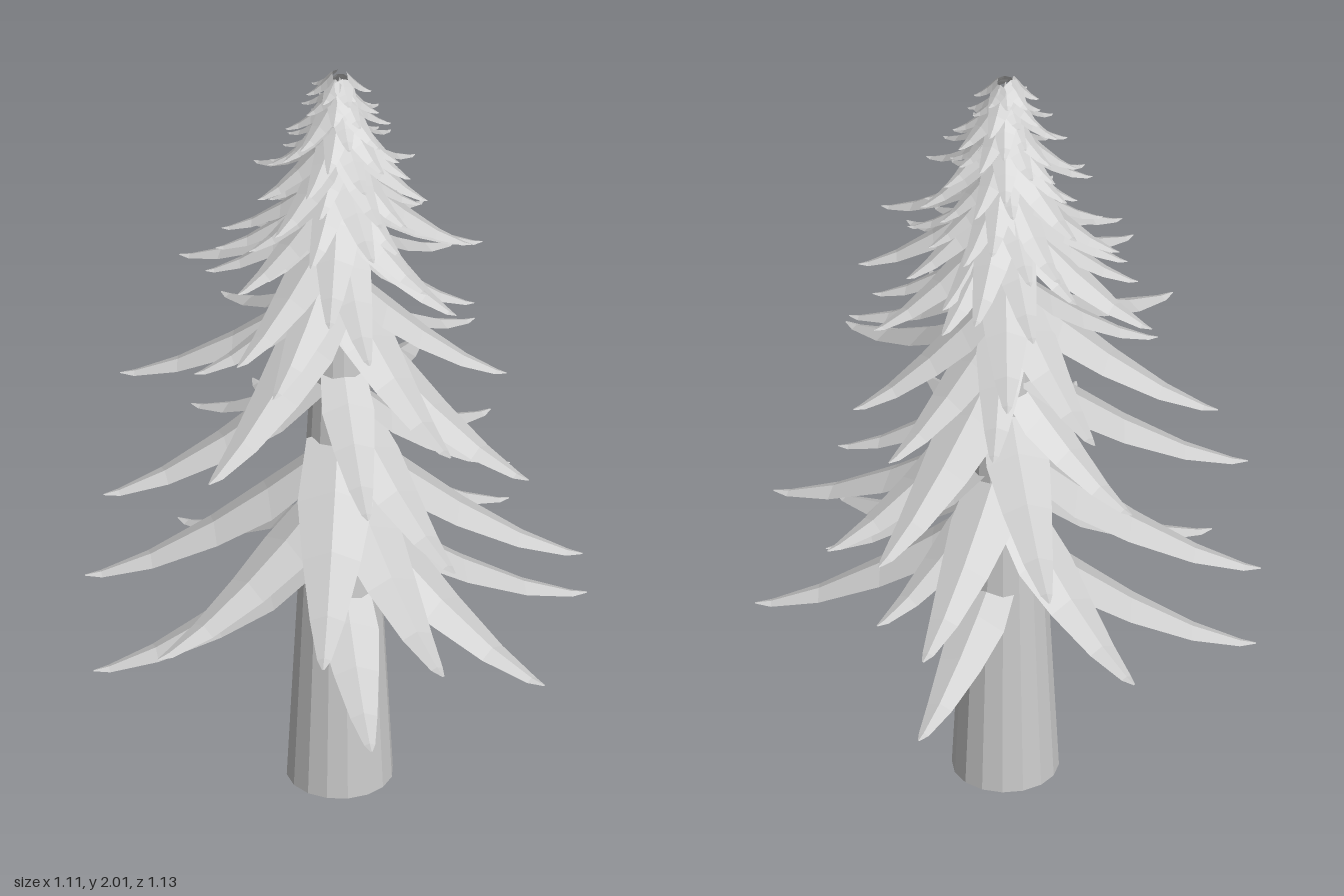
import * as THREE from 'three';

const AXIS_Z = -0.05; // trunk stands slightly behind the centre

// Trunk radius at a height
const trunkRadius = (y) => 0.13 - 0.05 * y;

// Tips of the long lower branches: x, y, z
const LOWER_TIPS = [
  [0.04, 0.51, -0.56], [0.26, 0.82, -0.5], [-0.42, 0.61, -0.5], [-0.44, 0.36, -0.46],
  [-0.44, 0.88, -0.43], [-0.29, 1.13, -0.49], [-0.52, 0.53, -0.21], [-0.55, 1.12, -0.035],
  [-0.53, 0.7, 0.29], [-0.26, 0.6, 0.45], [0, 0.48, 0.56], [0.03, 1.03, 0.49],
  [0.29, 0.67, 0.46], [0.43, 0.45, 0.37], [0.37, 0.68, 0.18], [0.5, 0.81, 0.03],
  [0.42, 0.6, -0.06], [0.55, 0.91, -0.21], [0.47, 0.63, -0.28], [0.43, 0.35, -0.22],
  [0.28, 1.15, -0.32], [0.27, 1.31, -0.36], [-0.32, 0.35, 0.28], [-0.16, 0.83, 0.41],
  [-0.15, 1.15, 0.39], [-0.39, 1.31, 0.04], [0.25, 0.88, 0.27], [0.17, 1.2, 0.32],
  [0.38, 1.15, 0.07], [0.4, 1.08, -0.08], [-0.04, 0.92, -0.46], [0.08, 1.18, -0.46],
  [-0.4, 1.37, -0.06], [-0.28, 0.98, 0.24], [-0.13, 1.41, -0.43], [-0.3, 1.22, -0.26],
];

// Tips of the middle branches: x, y, z
const MIDDLE_TIPS = [
  [0.34, 1.38, 0.04], [0.3, 1.45, -0.16], [-0.3, 1.5, -0.13], [0.27, 1.52, 0],
  [0.04, 1.55, -0.29], [0.02, 1.43, 0.28], [-0.22, 1.38, 0.2], [0.2, 1.34, 0.2],
  [0.16, 1.45, -0.33], [-0.2, 1.45, -0.3], [-0.2, 1.53, 0.08], [0.14, 1.54, 0.14],
];

// Small repeatable random generator
function seeded(seed) {
  return () => {
    seed = (seed * 16807) % 2147483647;
    return seed / 2147483647;
  };
}

// Drooping folded blade from the trunk to a tip
function branchGeometry(x, y, z) {
  const length = Math.hypot(x, z - AXIS_Z);
  const dx = x / length, dz = (z - AXIS_Z) / length;
  const reach = length + 0.006;
  const drop = 0.4 * reach + Math.min(0.06, 0.3 * reach);
  const start = Math.min(0.6 * trunkRadius(y + drop), 0.3 * reach);
  const halfWidth = 0.015 + 0.12 * reach;
  const profile = [[0, 0.85], [0.22, 1], [0.45, 0.78], [0.72, 0.47], [0.93, 0.19], [1, 0.03]];
  const points = [], index = [];
  profile.forEach(([t, k], i) => {
    const r = start + (reach - start) * t;
    const ridge = y + drop * Math.pow(1 - t, 1.45);
    const w = halfWidth * k;
    for (const side of [-1, 0, 1]) {
      points.push(dx * r - dz * w * side, ridge - Math.abs(side) * w * 0.38, AXIS_Z + dz * r + dx * w * side);
    }
    if (i === 0) return;
    for (let j = 0; j < 2; j++) {
      const a = (i - 1) * 3 + j, c = a + 3;
      index.push(a, a + 1, c, a + 1, c + 1, c);
    }
  });
  const g = new THREE.BufferGeometry();
  g.setAttribute('position', new THREE.Float32BufferAttribute(points, 3));
  g.setIndex(index);
  g.computeVertexNormals();
  return g;
}

export function createModel() {
  const tree = new THREE.Group();
  tree.name = 'coniferTree';
  const grey = new THREE.MeshStandardMaterial({ color: 0xcccccc, flatShading: true, side: THREE.DoubleSide });
  grey.name = 'lightGrey';

  // Tapered trunk
  const trunk = new THREE.Mesh(new THREE.CylinderGeometry(trunkRadius(1.9), 0.13, 1.9, 16), grey);
  trunk.name = 'trunk';
  trunk.position.set(0, 0.95, AXIS_Z);
  tree.add(trunk);

  // Pointed trunk top
  const point = new THREE.Mesh(new THREE.ConeGeometry(trunkRadius(1.9), 0.1, 16), grey);
  point.name = 'trunkTip';
  point.position.set(0, 1.95, AXIS_Z);
  tree.add(point);

  const addBranch = (group, x, y, z) => {
    const branch = new THREE.Mesh(branchGeometry(x, y, z), grey);
    branch.name = 'branch';
    group.add(branch);
  };

  // Long lower and middle branches
  for (const [name, tips] of [['lowerBranches', LOWER_TIPS], ['middleBranches', MIDDLE_TIPS]]) {
    const group = new THREE.Group();
    group.name = name;
    tips.forEach(([x, y, z]) => addBranch(group, x, y, z));
    tree.add(group);
  }

  // Upper tiers, shorter and closer together towards the top
  const upper = new THREE.Group();
  upper.name = 'upperBranches';
  const random = seeded(77);
  const tiers = 9, perTier = 8;
  for (let i = 0; i < tiers; i++) {
    const f = i / (tiers - 1);
    const tierY = 1.5 + 0.455 * Math.pow(f, 0.85);
    for (let j = 0; j < perTier; j++) {
      const angle = ((j + 0.5 * (i % 2) + 0.6 * (random() - 0.5)) / perTier) * Math.PI * 2;
      const y = tierY + (random() - 0.5) * 0.06 * (1 - f);
      const reach = (0.045 + 0.52 * (2 - y)) * (0.75 + 0.4 * random());
      addBranch(upper, Math.cos(angle) * reach, y, AXIS_Z + Math.sin(angle) * reach);
    }
  }
  tree.add(upper);
  return tree;
}
